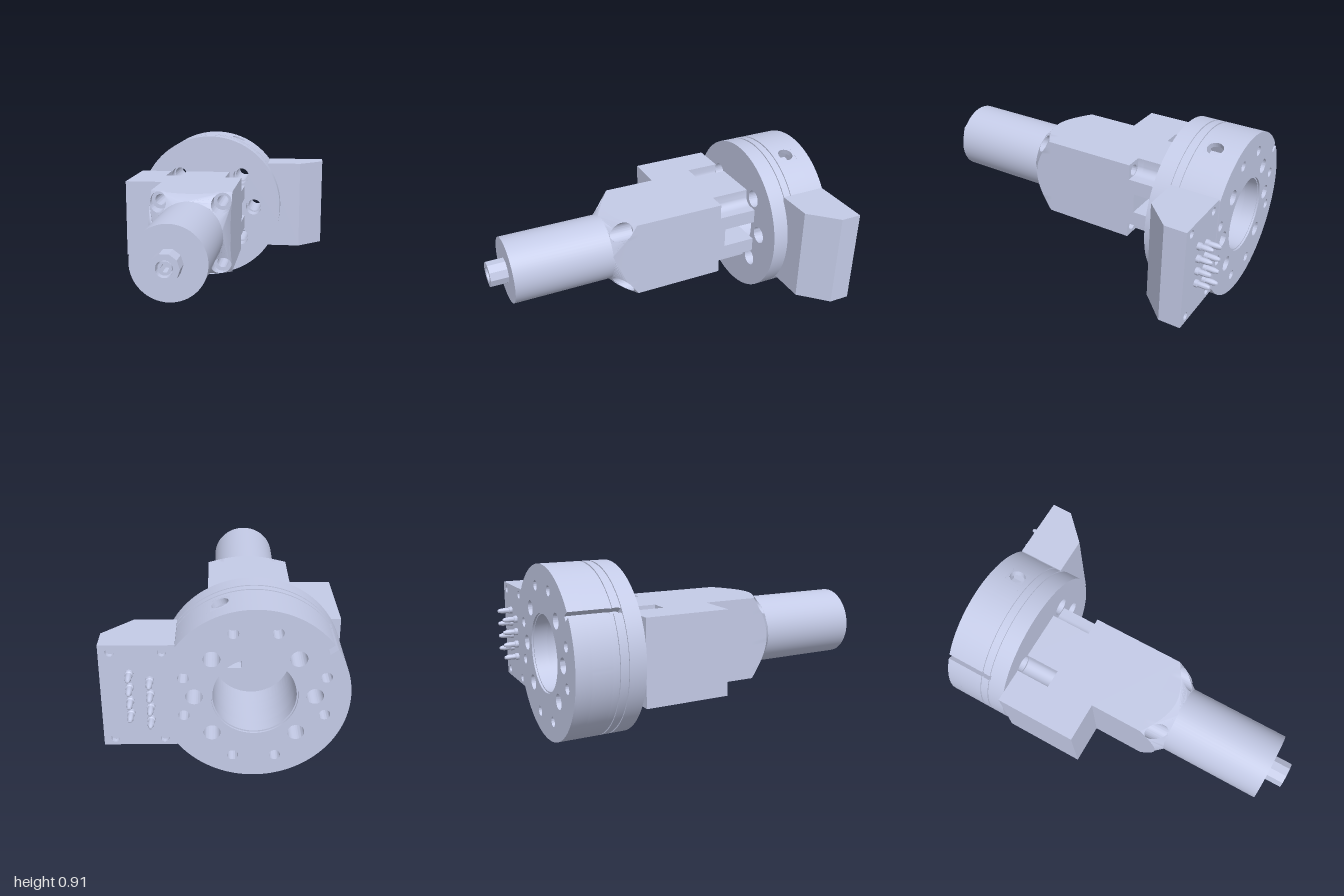
import * as THREE from 'three';
import { toCreasedNormals } from 'three/addons/utils/BufferGeometryUtils.js';

const metal = new THREE.MeshStandardMaterial({ color: 0xcad1ee });
metal.name = 'pale blue metal';

const R = 0.457;      // flange radius
const H = 0.2275;     // half width of the square housing
const CHORD = 0.372;  // flat on the ring where the connector sits
const DEG = Math.PI / 180;

function hole(shape, x, y, r) {
  const p = new THREE.Path();
  p.absarc(x, y, r, 0, Math.PI * 2, true);
  shape.holes.push(p);
}

function polarHole(shape, deg, dist, r) {
  hole(shape, dist * Math.cos(deg * DEG), dist * Math.sin(deg * DEG), r);
}

function polygon(pts) {
  return new THREE.Shape(pts.map(([x, y]) => new THREE.Vector2(x, y)));
}

function extrude(shape, depth, segments = 28) {
  return new THREE.ExtrudeGeometry(shape, { depth, bevelEnabled: false, curveSegments: segments });
}

// Points on an arc, angles in degrees
function arc(cx, cy, r, a0, a1, n = 8) {
  return Array.from({ length: n + 1 }, (_, i) => {
    const a = (a0 + (a1 - a0) * i / n) * DEG;
    return [cx + r * Math.cos(a), cy + r * Math.sin(a)];
  });
}

// Round outline, optionally cut by a chord, with rim notches {deg, half, depth}
function discShape(r, chord, notches = []) {
  const s = new THREE.Shape();
  const start = chord ? Math.acos(chord / r) : 0;
  let a = start;
  for (const { deg, half, depth } of notches) {
    const t = deg * DEG, w = Math.asin(half / r);
    s.absarc(0, 0, r, a, t - w, false);
    for (const side of [-half, half]) {
      s.lineTo((r - depth) * Math.cos(t) - side * Math.sin(t), (r - depth) * Math.sin(t) + side * Math.cos(t));
    }
    a = t + w;
  }
  s.absarc(0, 0, r, a, Math.PI * 2 - start, false);
  return s;
}

// Housing cross-section: side block on the left, cut-outs mirrored top to bottom
function housingProfile({ left = -0.448, channels = false, notches = false, slot = false }) {
  const low = [[left, -H]];
  if (channels) low.push([-0.253, -H], ...arc(-0.2015, -0.19, 0.0515, 180, 0, 12), [-0.15, -H]);
  if (notches) low.push([0.127, -H], ...arc(0.177, -0.19, 0.05, 180, 90), [H, -0.14]);
  else low.push([H, -H]);
  if (slot) low.push([H, -0.057], [0.05, -0.057]);
  return polygon([...low, ...low.map(([x, y]) => [x, -y]).reverse()]);
}

export function createModel() {
  const model = new THREE.Group();
  const axis = new THREE.Group();   // everything round the main axis
  axis.name = 'adapter';
  axis.position.set(-0.137, 0.459, 0);
  model.add(axis);

  const add = (name, geo, parent = axis) => {
    const m = new THREE.Mesh(toCreasedNormals(geo, 0.5), metal);
    m.name = name;
    parent.add(m);
    return m;
  };
  const slab = (name, shape, z0, z1, segments) =>
    add(name, extrude(shape, z1 - z0, segments).translate(0, 0, z0));

  const boltAngles = [0, 45, 135, 180, 225, 315];
  const pinAngles = [0, 90, 180, 270].flatMap(a => [a - 17, a + 17]);

  // Front flange plate
  const plate = discShape(R);
  hole(plate, 0, 0, 0.2);
  boltAngles.forEach(a => polarHole(plate, a, 0.287, 0.05));
  slab('flangePlate', plate, -0.65, -0.56, 80);

  // Ring body in layers: shallow grooves, radial screw pockets, blind pin holes
  const keyway = { deg: 145, half: 0.014, depth: 0.045 };
  const pocketAngles = [69, 291];
  const pockets = pocketAngles.map(deg => ({ deg, half: 0.05, depth: 0.08 }));
  const layers = [
    { z0: -0.66, z1: -0.65, r: 0.45 },
    { z0: -0.697, z1: -0.66 },
    { z0: -0.707, z1: -0.697, r: 0.45 },
    { z0: -0.735, z1: -0.707 },
    { z0: -0.84, z1: -0.735, cuts: [pockets[0], keyway, pockets[1]] },
    { z0: -0.913, z1: -0.84, pins: true },
    { z0: -0.923, z1: -0.913, pins: true, bore: 0.207 },
  ];
  for (const { z0, z1, r = R, cuts = [keyway], pins = false, bore = 0.2 } of layers) {
    const s = discShape(r, CHORD, cuts);
    hole(s, 0, 0, bore);
    boltAngles.forEach(a => polarHole(s, a, 0.287, 0.041));
    if (pins) pinAngles.forEach(a => polarHole(s, a, 0.352, 0.027));
    slab('ringBody', s, z0, z1, 40);
  }

  // Curved wall pieces with a round screw hole, closing the pockets
  for (const deg of pocketAngles) {
    const s = polygon([[-0.05, -0.0525], [0, -0.0525], [0.05, -0.0525], [0.05, 0.0525], [0, 0.0525], [-0.05, 0.0525]]);
    hole(s, 0, 0, 0.043);
    const g = extrude(s, 0.03);
    const p = g.attributes.position;
    for (let i = 0; i < p.count; i++) {
      p.setZ(i, p.getZ(i) > 0.01 ? Math.sqrt(R * R - p.getX(i) ** 2) : R - 0.03);
    }
    const c = Math.cos(deg * DEG), n = Math.sin(deg * DEG);
    g.applyMatrix4(new THREE.Matrix4().makeBasis(
      new THREE.Vector3(-n, c, 0), new THREE.Vector3(0, 0, 1), new THREE.Vector3(c, n, 0)));
    add('radialScrewHole', g.translate(0, 0, -0.7875));
  }

  // Square housing, from the flange forward
  const corners = [[1, 1], [-1, 1], [-1, -1], [1, -1]].map(([x, y]) => [x * 0.175, y * 0.175]);
  slab('housingRear', housingProfile({ channels: true, notches: true, slot: true }), -0.56, -0.365);
  const second = housingProfile({ notches: true });
  corners.filter(([x]) => x < 0).forEach(([x, y]) => hole(second, x, y, 0.031));
  slab('housingRear', second, -0.365, -0.33);
  const third = housingProfile({});
  corners.forEach(([x, y]) => hole(third, x, y, 0.031));
  slab('housingMiddle', third, -0.33, -0.1);
  const fourth = housingProfile({ left: -H });
  corners.forEach(([x, y]) => hole(fourth, x, y, 0.031));
  slab('housingFront', fourth, -0.1, 0.19);
  add('slotTab', new THREE.BoxGeometry(0.012, 0.08, 0.04).translate(0.054, 0, -0.51));

  // Conical nose cut on the square, with counterbored corners
  const edge = [];
  for (let k = 0; k < 4; k++) {
    for (let i = 0; i < 24; i++) {
      const t = -H + 2 * H * i / 24;
      edge.push([[t, -H], [H, t], [-t, H], [-H, -t]][k]);
    }
  }
  const nose = polygon(edge);
  hole(nose, 0, 0, 0.19);
  corners.forEach(([x, y]) => hole(nose, x, y, 0.052));
  const noseGeo = extrude(nose, 1, 40);
  const np = noseGeo.attributes.position;
  for (let i = 0; i < np.count; i++) {
    np.setZ(i, np.getZ(i) > 0.5 ? 0.52 - Math.hypot(np.getX(i), np.getY(i)) : 0.19);
  }
  add('conicalNose', noseGeo);

  // Motor barrel and its end boss with a hex socket
  add('barrel', new THREE.CylinderGeometry(0.191, 0.191, 0.7, 64).rotateX(Math.PI / 2).translate(0, 0, 0.55));
  const boss = polygon(arc(0, 0, 0.074, 0, 324, 9));
  hole(boss, 0, 0, 0.042);
  slab('endBoss', boss, 0.9, 1);
  const hub = discShape(0.034);
  hub.holes.push(new THREE.Path(arc(0, 0, 0.021, 300, 0, 5).map(([x, y]) => new THREE.Vector2(x, y))));
  slab('hexSocket', hub, 0.9, 0.985);

  // Connector block on the ring's flat, chamfered at the front
  const block = new THREE.Group();
  block.name = 'connector';
  model.add(block);
  const outline = polygon([[0.235, 0.655], [0.445, 0.655], [0.59, 0.8], [0.59, 0.895], [0.235, 0.895]]);
  add('connectorBlock', extrude(outline, 0.55).rotateX(-Math.PI / 2).scale(1, 1, 1)
    .applyMatrix4(new THREE.Matrix4().makeTranslation(0, 0.185, 0)), block);
  const face = polygon([[0.235, 0.185], [0.59, 0.185], [0.59, 0.735], [0.235, 0.735]]);
  for (const x of [0.295, 0.535]) for (const y of [0.222, 0.698]) hole(face, x, y, 0.021);
  add('connectorFace', extrude(face, 0.023).translate(0, 0, -0.918), block);

  // Two staggered columns of contact pins
  const pinProfile = [[0, 0], [0.02, 0], [0.02, 0.018], [0.015, 0.022], [0.015, 0.06], [0.009, 0.08], [0, 0.084]]
    .map(([x, y]) => new THREE.Vector2(x, y));
  for (let i = 0; i < 8; i++) {
    const pin = new THREE.LatheGeometry(pinProfile, 16).rotateX(-Math.PI / 2);
    add('contactPin', pin.translate(i % 2 ? 0.45 : 0.355, 0.335 + i * 0.036, -0.916), block);
  }
  return model;
}
